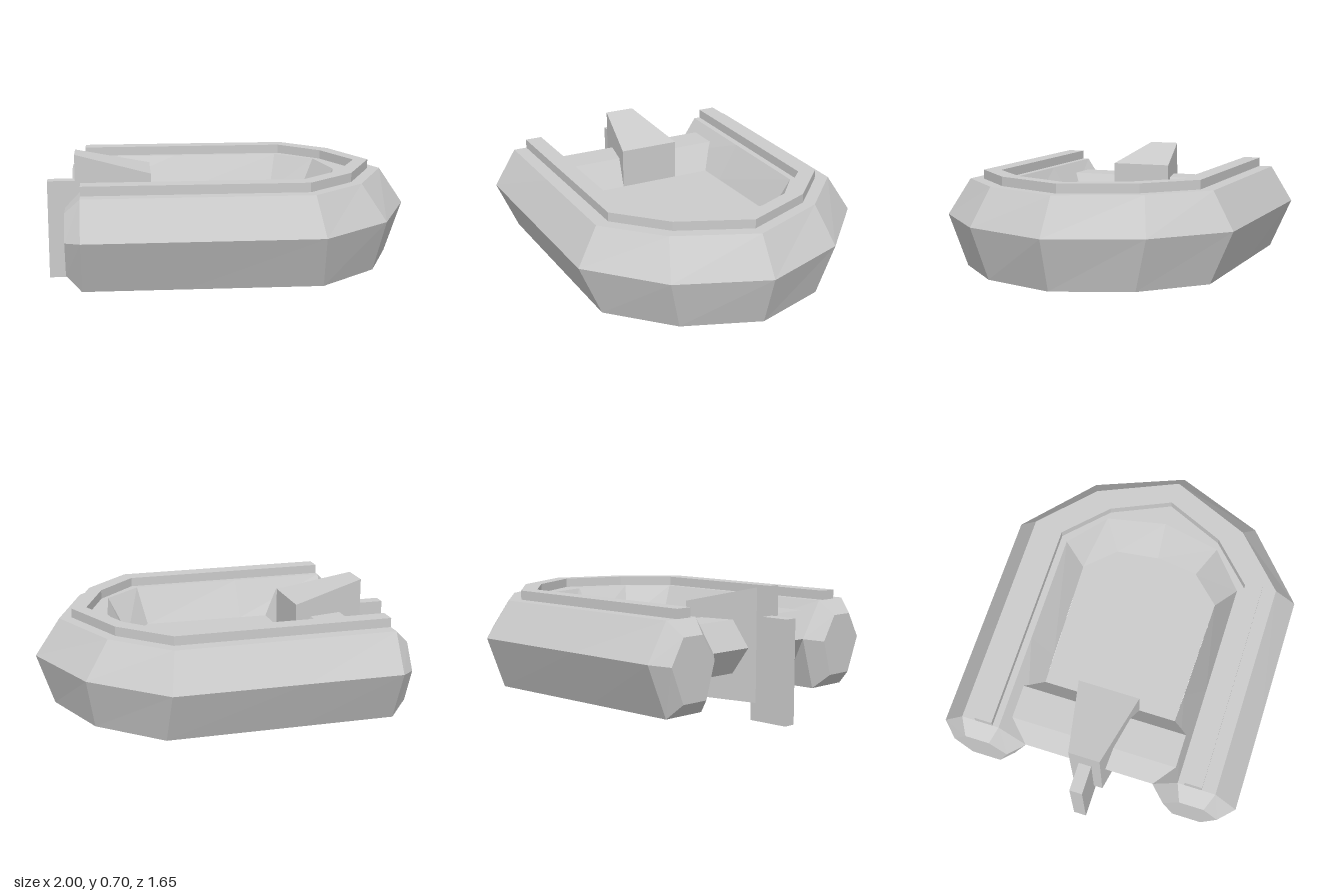
import * as THREE from 'three';

const material = new THREE.MeshStandardMaterial({ color: 0xcccccc, flatShading: true, side: THREE.DoubleSide });

function addMesh(group, name, geometry) {
  const mesh = new THREE.Mesh(geometry, material);
  mesh.name = name;
  group.add(mesh);
  return mesh;
}

// Half outline [x, z] from stern to bow, mirrored into the full outline
const mirrored = half => [...half, ...half.slice(0, -1).reverse().map(([x, z]) => [x, -z])];

const shapeOf = points => new THREE.Shape(points.map(([x, y]) => new THREE.Vector2(x, y)));

// Horizontal slab from an [x, z] outline
function slab(points, y, height) {
  const g = new THREE.ExtrudeGeometry(shapeOf(points.map(([x, z]) => [x, -z])), { depth: height, bevelEnabled: false });
  return g.rotateX(-Math.PI / 2).translate(0, y, 0);
}

// Faceted tube around the U-shaped plan: open underneath, with closed tapered
// stern ends and a short inner wall below floor level near the stern
function tubeGeometry() {
  const rails = [
    { y: 0.108, plan: [[-0.8, 0.7], [-0.27, 0.7], [0.44, 0.7], [0.755, 0.41], [0.905, 0]] },
    { y: 0.388, plan: [[-0.8, 0.825], [-0.27, 0.823], [0.435, 0.82], [0.81, 0.485], [1, 0]] },
    { y: 0.588, plan: [[-0.8, 0.7], [-0.27, 0.7], [0.395, 0.7], [0.68, 0.43], [0.865, 0]] },
    { y: 0.588, plan: [[-0.8, 0.495], [-0.27, 0.495], [0.33, 0.495], [0.535, 0.32], [0.6, 0]] },
    { y: 0.388, plan: [[-0.8, 0.36], [-0.27, 0.38], [0.29, 0.393], [0.44, 0.235], [0.47, 0]] },
    { y: 0.108, plan: [[-0.8, 0.45], [-0.27, 0.43]] },
  ];
  const half = [0, 1, 2, 3, 4].map(i =>
    rails.filter(({ plan }) => plan[i]).map(({ y, plan }) => [plan[i][0], y, plan[i][1]]));
  half.unshift(half[0].map(([, y, z]) => [-0.88, 0.348 + (y - 0.348) * 0.68, 0.595 + (z - 0.595) * 0.65]));
  const rings = [...half, ...half.slice(0, -1).reverse().map(r => r.map(([x, y, z]) => [x, y, -z]))];

  const positions = [];
  const tri = (a, b, c) => positions.push(...a, ...b, ...c);
  const last = rings.length - 1;
  for (let i = 0; i < last; i++) {
    const a = rings[i], b = rings[i + 1];
    const isEnd = i === 0 || i === last - 1;
    const count = isEnd ? a.length : Math.min(a.length, b.length) - 1;
    for (let j = 0; j < count; j++) {
      const k = (j + 1) % a.length;
      tri(a[j], b[j], b[k]);
      tri(a[j], b[k], a[k]);
    }
  }
  for (let j = 1; j < 5; j++) {
    tri(rings[0][0], rings[0][j], rings[0][j + 1]);
    tri(rings[last][0], rings[last][j + 1], rings[last][j]);
  }
  const g = new THREE.BufferGeometry();
  g.setAttribute('position', new THREE.Float32BufferAttribute(positions, 3));
  g.computeVertexNormals();
  return g;
}

// Engine block: widens toward the bow while its top slopes down
function engineGeometry() {
  const g = new THREE.BoxGeometry(1, 1, 1);
  const p = g.attributes.position;
  for (let i = 0; i < p.count; i++) {
    const front = p.getX(i) > 0;
    const top = front ? 0.61 : 0.705;
    p.setXYZ(i, front ? -0.43 : -0.845, p.getY(i) > 0 ? top : 0.108, Math.sign(p.getZ(i)) * (front ? 0.17 : 0.085));
  }
  g.computeVertexNormals();
  return g;
}

export function createModel() {
  const boat = new THREE.Group();
  boat.name = 'inflatableBoat';

  addMesh(boat, 'tube', tubeGeometry());

  // Raised strip along the top of the tube
  const outer = mirrored([[-0.8, 0.625], [0.378, 0.625], [0.632, 0.385], [0.797, 0]]);
  const inner = mirrored([[-0.8, 0.53], [0.355, 0.53], [0.575, 0.315], [0.715, 0]]);
  addMesh(boat, 'topStrip', slab([...outer, ...inner.reverse()], 0.585, 0.053));

  // Floor set inside the tube
  const floor = mirrored([[-0.6, 0.37], [0.29, 0.393], [0.44, 0.235], [0.47, 0]]);
  addMesh(boat, 'floor', slab(floor, 0.385, 0.005));

  // Hexagonal cross seat
  const seat = shapeOf([[-0.8, 0.39], [-0.71, 0.25], [-0.525, 0.25], [-0.43, 0.39], [-0.525, 0.53], [-0.71, 0.53]]);
  addMesh(boat, 'seat', new THREE.ExtrudeGeometry(seat, { depth: 0.92, bevelEnabled: false }).translate(0, 0, -0.46));

  // Outboard motor
  addMesh(boat, 'engine', engineGeometry());
  addMesh(boat, 'engineFin', new THREE.BoxGeometry(0.23, 0.55, 0.07)).position.set(-0.885, 0.275, 0);

  return boat;
}
